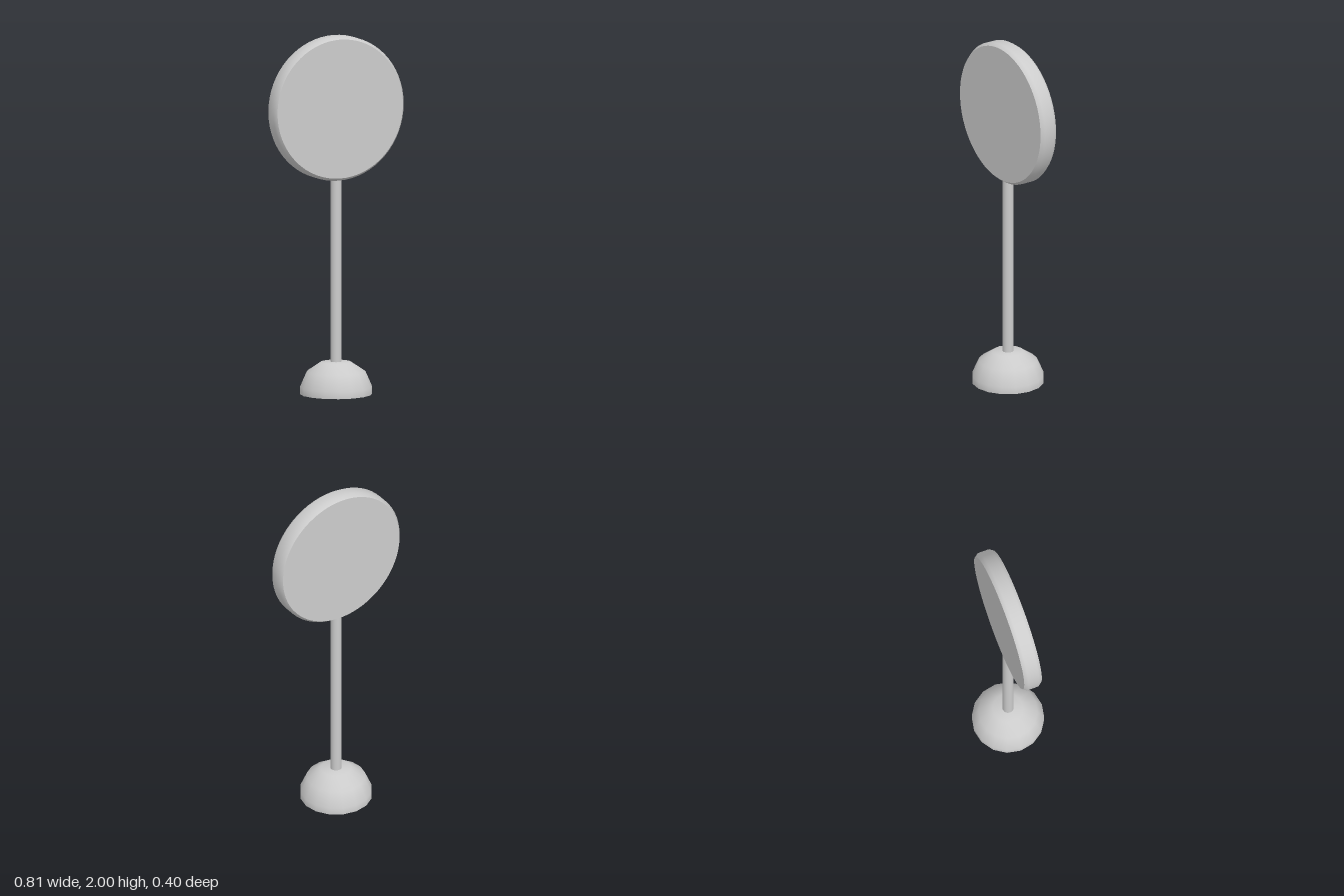
import * as THREE from 'three';

export function createModel() {
  const group = new THREE.Group();
  const grey = new THREE.MeshStandardMaterial({ color: 0xcccccc });
  grey.name = 'light grey';

  // Revolves a bottom-to-top profile; a repeated point makes a sharp edge.
  function turned(name, profile, sides) {
    const points = profile.map(([r, y]) => new THREE.Vector2(r, y));
    const mesh = new THREE.Mesh(new THREE.LatheGeometry(points, sides), grey);
    mesh.name = name;
    group.add(mesh);
    return mesh;
  }

  // Faceted dome with a flat underside and a flat top
  turned('base', [
    [0, 0], [0.2, 0], [0.2, 0],
    [0.2, 0.04], [0.163, 0.125], [0.085, 0.178], [0, 0.182],
  ], 16);

  // Slim upright, running slightly into the disc
  const pole = new THREE.Mesh(new THREE.CylinderGeometry(0.031, 0.031, 1.07, 16), grey);
  pole.name = 'pole';
  pole.position.y = 0.685;
  group.add(pole);

  // Upright round disc with bevelled rims and flat faces
  const disc = turned('disc', [
    [0, -0.052], [0.388, -0.052], [0.388, -0.052],
    [0.403, -0.031], [0.403, 0.031],
    [0.388, 0.052], [0.388, 0.052], [0, 0.052],
  ], 64);
  disc.rotation.x = Math.PI / 2;
  disc.position.y = 1.597;

  return group;
}
